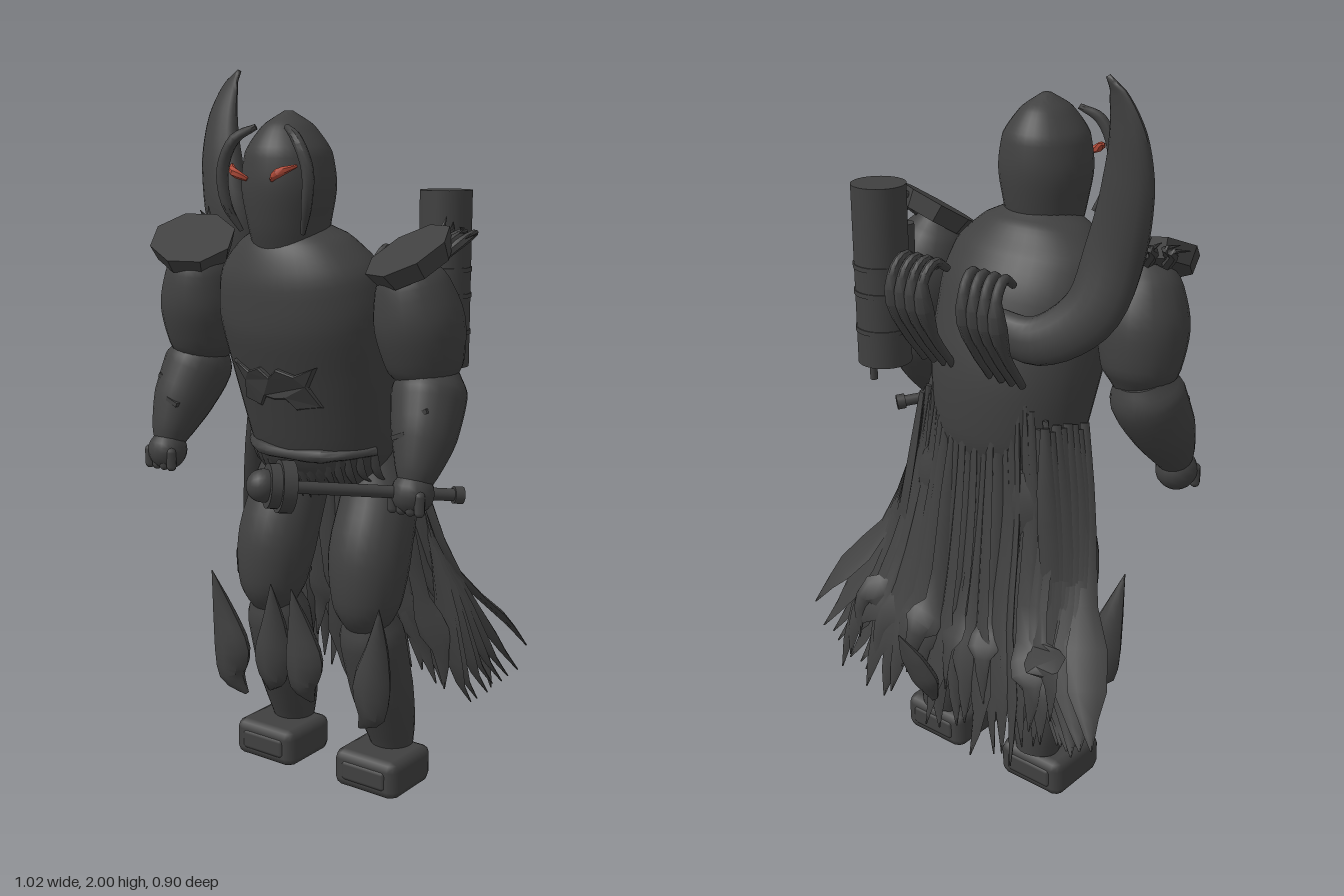
import * as THREE from 'three';
import { toCreasedNormals } from 'three/addons/utils/BufferGeometryUtils.js';
import { RoundedBoxGeometry } from 'three/addons/geometries/RoundedBoxGeometry.js';

const V = (x, y, z) => new THREE.Vector3(x, y, z);

// Closed sweep through points [x, y, z, radiusAcross, radiusDeep]; side mirrors x
function sweep(points, { side = 1, around = 16, steps = 16, ref = V(1, 0, 0) } = {}) {
  const path = new THREE.CatmullRomCurve3(points.map(p => V(p[0] * side, p[1], p[2])));
  const size = new THREE.CatmullRomCurve3(points.map(p => V(p[3], p[4] ?? p[3], 0)));
  const pos = [], index = [];
  for (let j = 0; j <= steps; j++) {
    const t = j / steps, c = path.getPoint(t), r = size.getPoint(t), T = path.getTangent(t);
    const A = ref.clone().addScaledVector(T, -ref.dot(T)).normalize();
    const B = T.clone().cross(A);
    for (let i = 0; i < around; i++) {
      const a = (i / around) * Math.PI * 2;
      const p = c.clone().addScaledVector(A, Math.max(r.x, 0.001) * Math.cos(a))
        .addScaledVector(B, Math.max(r.y, 0.001) * Math.sin(a));
      pos.push(p.x, p.y, p.z);
      if (j < steps) {
        const n = j * around, k = (i + 1) % around;
        index.push(n + i, n + k, n + around + i, n + k, n + around + k, n + around + i);
      }
    }
  }
  const last = steps * around;
  for (let i = 1; i < around - 1; i++) index.push(0, i + 1, i, last, last + i, last + i + 1);
  const g = new THREE.BufferGeometry();
  g.setAttribute('position', new THREE.Float32BufferAttribute(pos, 3));
  g.setIndex(index);
  return toCreasedNormals(g.toNonIndexed(), 0.8);
}

export function createModel() {
  const root = new THREE.Group();
  const dark = new THREE.MeshStandardMaterial({ color: 0x404040 });
  dark.name = 'charcoal';
  const red = new THREE.MeshStandardMaterial({ color: 0xb04a38 });
  red.name = 'ember red';
  let seed = 7;
  const rnd = () => (seed = (seed * 16807) % 2147483647) / 2147483647;

  const add = (name, geo, parent = root, mat = dark) => {
    const m = new THREE.Mesh(geo, mat);
    m.name = name;
    parent.add(m);
    return m;
  };
  const group = (name) => {
    const g = new THREE.Group();
    g.name = name;
    root.add(g);
    return g;
  };

  // Torso and head
  add('torso', sweep([[0, 0.88, -0.11, 0.16, 0.1], [0, 1.0, -0.085, 0.215, 0.165], [0, 1.2, -0.05, 0.245, 0.195],
    [0, 1.36, 0, 0.255, 0.195], [0, 1.48, 0.035, 0.235, 0.165], [0, 1.56, 0.05, 0.16, 0.12], [0, 1.6, 0.055, 0.08, 0.07]],
    { around: 40, steps: 32 }));
  add('head', sweep([[0, 1.52, 0.07, 0.095, 0.09], [0, 1.6, 0.075, 0.108, 0.112], [0, 1.7, 0.077, 0.124, 0.125],
    [0, 1.78, 0.078, 0.112, 0.118], [0, 1.85, 0.078, 0.062, 0.072], [0, 1.885, 0.078, 0.012]], { around: 32, steps: 28 }));
  add('belt', sweep([[-0.21, 1.0, -0.03, 0.012], [-0.13, 0.99, 0.055, 0.014], [0, 0.985, 0.085, 0.014],
    [0.13, 0.99, 0.055, 0.014], [0.21, 1.0, -0.03, 0.012]], { ref: V(0, 1, 0), around: 8 }));

  // Winged belly ornament, bent round the torso
  const wing = [[0, 0.025], [0.03, 0.05], [0.075, 0.035], [0.13, 0.06], [0.1, 0.01], [0.125, -0.045], [0.06, -0.055], [0.035, -0.025], [0, -0.03]];
  const outline = [...wing, ...wing.slice(1, -1).reverse().map(([x, y]) => [-x, y])];
  const plate = new THREE.ExtrudeGeometry(new THREE.Shape(outline.map(p => new THREE.Vector2(...p))),
    { depth: 0.025, bevelEnabled: true, bevelSize: 0.004, bevelThickness: 0.005, bevelSegments: 1 });
  const pp = plate.attributes.position;
  for (let i = 0; i < pp.count; i++) pp.setZ(i, pp.getZ(i) + pp.getY(i) * 0.45 - pp.getX(i) ** 2 * 2);
  plate.computeVertexNormals();
  add('bellyOrnament', plate).position.set(0, 1.175, 0.128);

  for (const s of [1, -1]) {
    const o = (around, steps, extra) => ({ side: s, around, steps, ...extra });
    // Face
    add('faceBar', sweep([[0.05, 1.845, 0.15, 0.008], [0.1, 1.815, 0.175, 0.015], [0.137, 1.74, 0.18, 0.016],
      [0.13, 1.65, 0.175, 0.014], [0.1, 1.58, 0.15, 0.006]], o(8, 16, { ref: V(0, 0, 1) })));
    add('eye', sweep([[0.105, 1.75, 0.18, 0.004], [0.07, 1.732, 0.215, 0.012], [0.04, 1.715, 0.2, 0.006]],
      o(6, 6, { ref: V(0, 1, 0) })), root, red);

    // Arms and hands
    add('upperArm', sweep([[0.34, 1.53, 0.035, 0.04], [0.35, 1.47, 0.03, 0.092], [0.363, 1.36, 0.01, 0.117],
      [0.37, 1.25, -0.01, 0.1], [0.37, 1.2, -0.02, 0.06]], o(24, 18)));
    add('forearm', sweep([[0.385, 1.24, -0.02, 0.07], [0.39, 1.18, 0, 0.098], [0.408, 1.08, 0.05, 0.085],
      [0.415, 1.0, 0.09, 0.058], [0.415, 0.96, 0.105, 0.04]], o(24, 16)));
    const hand = group('hand');
    hand.position.set(0.415 * s, 0.945, 0.11);
    add('palm', new THREE.SphereGeometry(0.056, 16, 12), hand);
    for (let i = 0; i < 4; i++)
      add('finger', new THREE.CapsuleGeometry(0.014, 0.04, 3, 8), hand).position.set((i - 1.5) * 0.027, -0.018, 0.03);

    // Shoulder plate, rising outward and backward, with claws
    const pad = add('shoulderPlate', new THREE.CylinderGeometry(0.12, 0.105, 0.05, 8).toNonIndexed());
    pad.geometry.computeVertexNormals();
    pad.position.set(0.36 * s, 1.525, 0.045);
    pad.rotation.set(0.5, 0, 0.25 * s);
    for (let i = 0; i < 5; i++) {
      const x = 0.35 + i * 0.024, z = -0.02 - 0.012 * (i % 3);
      add('shoulderClaw', sweep([[x - 0.02, 1.53, z + 0.04, 0.014], [x + 0.02, 1.57, z + 0.005, 0.013],
        [x + 0.035, 1.59, z - 0.03, 0.008], [x + 0.045, 1.625 - i * 0.012, z - 0.04 + i * 0.02, 0.001]], o(6, 8)));
    }

    // Legs and boots
    add('thigh', sweep([[0.12, 0.97, -0.14, 0.08], [0.15, 0.85, -0.13, 0.107], [0.16, 0.7, -0.075, 0.115],
      [0.165, 0.56, -0.055, 0.097], [0.165, 0.49, -0.06, 0.06]], o(24, 18)));
    add('shin', sweep([[0.165, 0.53, -0.065, 0.065], [0.165, 0.45, -0.085, 0.093], [0.17, 0.3, -0.125, 0.09],
      [0.175, 0.18, -0.16, 0.075], [0.178, 0.11, -0.175, 0.06]], o(24, 16)));
    add('boot', new RoundedBoxGeometry(0.21, 0.11, 0.2, 1, 0.026)).position.set(0.18 * s, 0.06, -0.12);
    add('bootBand', new RoundedBoxGeometry(0.15, 0.06, 0.208, 1, 0.012)).position.set(0.18 * s, 0.06, -0.12);

    // Upright teardrop blades at the knee
    for (const [x, lo, hi, z, lean] of [[0.055, 0.29, 0.62, 0.085, -0.02], [0.245, 0.23, 0.6, 0.035, 0.045]]) {
      const h = hi - lo;
      add('kneeBlade', sweep([[x - lean, lo, z - 0.01, 0.006], [x, lo + h * 0.15, z, 0.045, 0.034], [x, lo + h * 0.35, z, 0.06, 0.042],
        [x + lean * 0.5, lo + h * 0.65, z + 0.01, 0.036, 0.028], [x + lean, hi, z + 0.035, 0.001]], o(8, 12)));
    }

    // Curved ribs standing off the back
    for (let i = 0; i < 4; i++) {
      const x = 0.055 + i * 0.034;
      add('backRib', sweep([[x, 1.49, -0.25, 0.01], [x + 0.005, 1.515, -0.29, 0.013], [x + 0.012, 1.47, -0.33, 0.014],
        [x + 0.012, 1.34, -0.305, 0.014], [x + 0.008, 1.22, -0.225, 0.01]], o(8, 14)));
    }

    // Leaf-like cloth hanging at the sides of the hips
    for (let i = 0; i < 8; i++) {
      const f = i / 7, end = 0.42 - f * 0.12 - rnd() * 0.08, w = 0.026 + rnd() * 0.012, j = (rnd() - 0.5) * 0.03;
      add('sideCloth', sweep([[0.26 - f * 0.05, 1.12 - rnd() * 0.06, -0.09 - f * 0.1, 0.012, 0.007],
        [0.295 - f * 0.06, 0.9, -0.125 - f * 0.09, w * 0.8, 0.008], [0.36 - f * 0.08, 0.65, -0.205 - f * 0.03, w, 0.007],
        [0.455 - f * 0.13, end + 0.08, -0.31 + f * 0.03 + j, w, 0.007], [0.5 - f * 0.15, end, -0.355 + f * 0.04 + j, 0.002]],
        o(6, 10, { ref: V(1, 0, 0.6 * s).normalize() })));
    }
    // Nicks on the forearms
    for (const [x, y, z] of [[0.43, 1.15, 0.095], [0.38, 1.09, 0.12]]) {
      const nick = add('armNick', new THREE.BoxGeometry(0.04, 0.012, 0.02));
      nick.position.set(x * s, y, z);
      nick.rotation.z = 0.4 * s;
    }
  }

  // Ragged cape: outer and inner layers of tapered strips
  const cape = group('cape');
  for (const [n, top, zTop, zEnd, wTop, wEnd] of [[24, 1.17, -0.225, -0.38, 0.2, 0.36], [15, 1.02, -0.17, -0.28, 0.19, 0.27]])
    for (let i = 0; i < n; i++) {
      const u = (i / (n - 1)) * 2 - 1, end = 0.16 + rnd() * 0.2 + u * u * 0.06, j = (rnd() - 0.5) * 0.04;
      const bow = 0.05 * u * u, w = 0.02 + rnd() * 0.01;
      add('capeStrip', sweep([[u * wTop, top - rnd() * 0.08, zTop + bow, 0.01, 0.007],
        [u * (wTop + 0.03), 0.85, zTop - 0.025 + bow + j * 0.5, w * 0.8, 0.007],
        [u * (wTop + wEnd) * 0.5 + j * 0.6, 0.55, (zTop + zEnd) / 2 + j * 0.5, w, 0.007],
        [u * wEnd + j, end + 0.12, zEnd + 0.02 + j * 0.6, w, 0.007], [u * (wEnd + 0.02), end, zEnd + j * 0.6, 0.002]],
        { around: 6, steps: 12, ref: V(1, 0, (rnd() - 0.5) * 1.2).normalize() }), cape);
    }

  // Ragged loincloth under the belt
  for (let i = 0; i < 16; i++) {
    const u = (i / 15) * 2 - 1, z = -0.085 + 0.16 * Math.sqrt(1 - 0.85 * u * u), end = 0.78 + rnd() * 0.14;
    add('loinclothStrip', sweep([[u * 0.2, 1.0, z, 0.017, 0.006], [u * 0.2, 0.93, z - 0.03, 0.015, 0.005],
      [u * 0.205, end, Math.min(z - 0.07, 0), 0.002]], { around: 6, steps: 6 }));
  }

  // Great tusk rising from the back, and a heel blade
  add('backTusk', sweep([[-0.07, 1.36, -0.225, 0.05, 0.035], [-0.2, 1.345, -0.21, 0.062, 0.038], [-0.32, 1.43, -0.16, 0.075, 0.045],
    [-0.365, 1.58, -0.125, 0.08, 0.045], [-0.402, 1.75, -0.13, 0.072, 0.038], [-0.408, 1.87, -0.145, 0.056, 0.026],
    [-0.388, 1.96, -0.16, 0.032, 0.012], [-0.365, 2.0, -0.168, 0.006]],
    { ref: V(1, 0.9, 0).normalize(), around: 16, steps: 36 }));
  add('heelBlade', sweep([[0.02, 0.3, -0.38, 0.01], [0.04, 0.37, -0.4, 0.05, 0.025], [0.06, 0.43, -0.42, 0.045, 0.02],
    [0.08, 0.51, -0.45, 0.002]], { around: 8 }));

  // Tank on the back with bands, nozzle and side pipe
  const tank = group('tank');
  const rod = (name, r, h, x, y, z, parent = tank) =>
    add(name, new THREE.CylinderGeometry(r, r, h, 28), parent).position.set(x, y, z);
  rod('tankBody', 0.071, 0.475, 0.26, 1.443, -0.275);
  for (const y of [1.47, 1.4, 1.3]) rod('tankBand', 0.074, 0.012, 0.26, y, -0.275);
  rod('tankNozzle', 0.01, 0.06, 0.26, 1.195, -0.32);
  rod('sidePipe', 0.025, 0.26, 0.255, 1.43, -0.19);

  // Mace held in the left hand
  const mace = group('mace');
  const from = V(0.495, 0.93, 0.005), dir = V(0.18, 0.987, 0.4).sub(from);
  mace.position.copy(from);
  mace.quaternion.setFromUnitVectors(V(0, 1, 0), dir.normalize());
  rod('maceHandle', 0.016, 0.5, 0, 0.25, 0, mace);
  rod('macePommel', 0.022, 0.025, 0, 0.01, 0, mace);
  rod('maceDisc', 0.066, 0.035, 0, 0.465, 0, mace);
  rod('maceNeck', 0.056, 0.04, 0, 0.49, 0, mace);
  add('maceBall', new THREE.SphereGeometry(0.042, 20, 12), mace).position.y = 0.52;

  return root;
}
